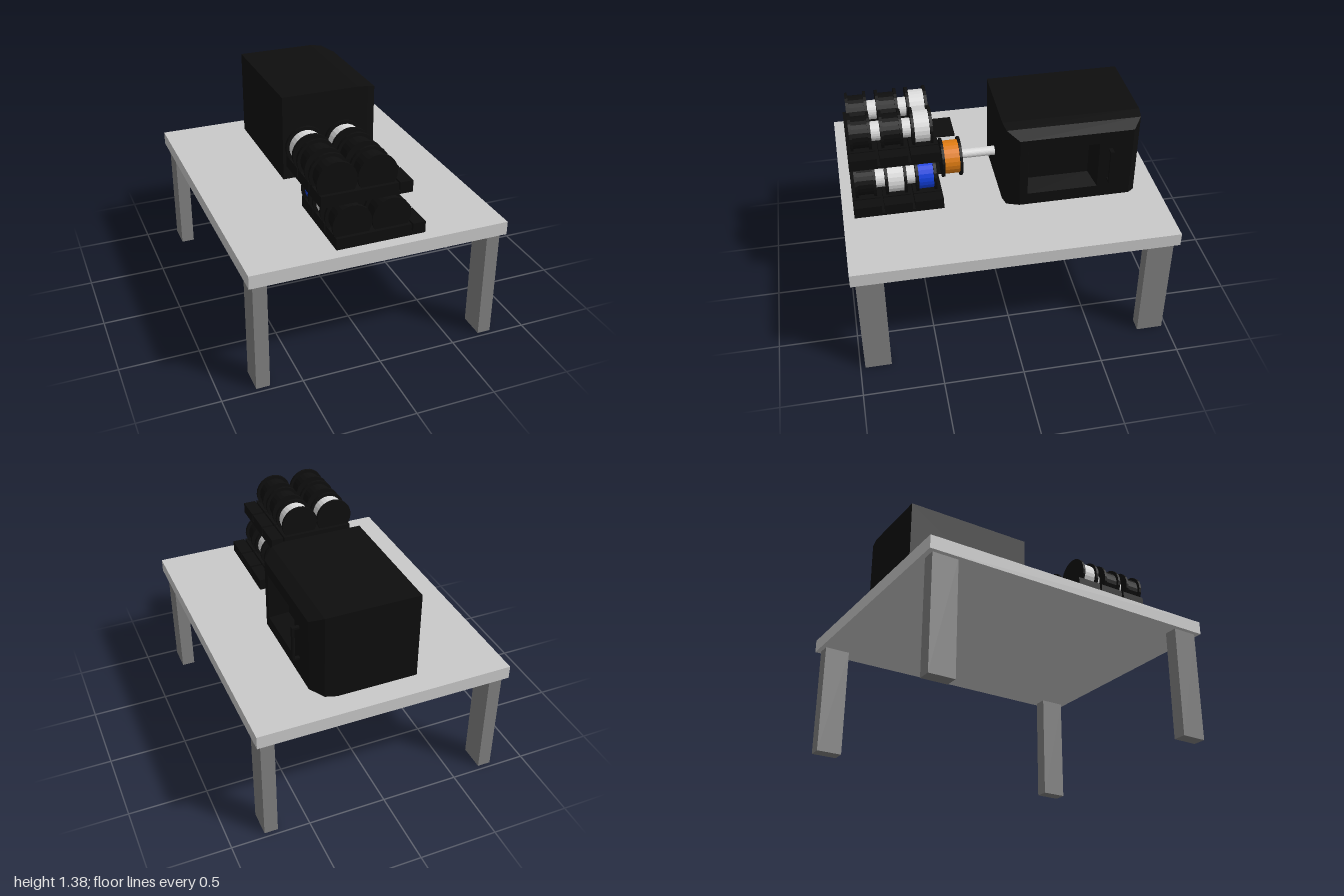
import * as THREE from 'three';

const mat = (name, color, extra = {}) => {
  const m = new THREE.MeshStandardMaterial({ color, flatShading: true, ...extra });
  m.name = name;
  return m;
};

export function createModel() {
  const black = mat('black', 0x0e0e0e);
  const silver = mat('silver', 0xdcdcdc);
  const orange = mat('orange', 0xe07c12);
  const blue = mat('blue', 0x1240e0);
  const topGrey = mat('light grey', 0xcacaca);
  const legGrey = mat('mid grey', 0x808080);

  const model = new THREE.Group();
  model.name = 'benchMachine';

  const add = (parent, name, geo, material) => {
    const mesh = new THREE.Mesh(geo, material);
    mesh.name = name;
    parent.add(mesh);
    return mesh;
  };
  // Box given by its low and high limits on each axis
  const box = (parent, name, x, y, z, material) => {
    const g = new THREE.BoxGeometry(x[1] - x[0], y[1] - y[0], z[1] - z[0]);
    g.translate((x[0] + x[1]) / 2, (y[0] + y[1]) / 2, (z[0] + z[1]) / 2);
    return add(parent, name, g, material);
  };
  // Cylinder lying along z
  const rod = (parent, name, x, y, z, r, material) => {
    const g = new THREE.CylinderGeometry(r, r, z[1] - z[0], 24);
    g.rotateX(Math.PI / 2);
    g.translate(x, y, (z[0] + z[1]) / 2);
    return add(parent, name, g, material);
  };

  // Table
  const table = new THREE.Group();
  table.name = 'table';
  model.add(table);
  box(table, 'tableTop', [-0.81, 0.81], [0.725, 0.81], [-1, 1], topGrey);
  for (const sx of [-1, 1]) for (const sz of [-1, 1]) {
    const leg = box(table, 'tableLeg', [-0.043, 0.043], [0, 0.725], [-0.083, 0.083], legGrey);
    leg.position.set(sx * 0.739, 0, sz * 0.887);
  }

  // Housing: rectangular sections along x, then a recess in the +x end
  const sections = [ // x, y low, y high, z low, z high
    [-0.255, 0.812, 1.38, -0.85, 0],
    [0.26, 0.812, 1.38, -0.85, 0],
    [0.335, 0.822, 1.37, -0.838, -0.012],
    [0.41, 0.86, 1.333, -0.78, -0.08],
    [0.41, 0.94, 1.255, -0.57, -0.13],
    [0.29, 0.97, 1.225, -0.54, -0.16],
  ];
  const pos = [], idx = [];
  for (const [x, y0, y1, z0, z1] of sections)
    pos.push(x, y0, z1, x, y0, z0, x, y1, z0, x, y1, z1);
  for (let s = 0; s < sections.length - 1; s++)
    for (let k = 0; k < 4; k++) {
      const a = s * 4 + k, b = s * 4 + (k + 1) % 4;
      idx.push(a, b, b + 4, a, b + 4, a + 4);
    }
  const e = (sections.length - 1) * 4;
  idx.push(0, 2, 1, 0, 3, 2, e, e + 1, e + 2, e, e + 2, e + 3);
  let housing = new THREE.BufferGeometry();
  housing.setAttribute('position', new THREE.Float32BufferAttribute(pos, 3));
  housing.setIndex(idx);
  housing = housing.toNonIndexed();
  housing.computeVertexNormals();
  add(model, 'housing', housing, black);

  // Door handle
  const handle = new THREE.Group();
  handle.name = 'doorHandle';
  model.add(handle);
  box(handle, 'handleGrip', [0.443, 0.456], [0.985, 1.215], [-0.652, -0.628], black);
  for (const y of [0.985, 1.202])
    box(handle, 'handleArm', [0.38, 0.443], [y, y + 0.013], [-0.652, -0.628], black);

  // Drive shaft and pulley
  rod(model, 'driveShaft', 0, 1, [-0.01, 0.23], 0.03, silver);
  rod(model, 'pulleyDrum', 0.01, 0.995, [0.235, 0.335], 0.107, orange);
  for (const z of [0.222, 0.335])
    rod(model, 'pulleyFlange', 0.01, 0.995, [z, z + 0.016], 0.125, black);

  // Guide plates beside the pulley
  for (const y of [0.842, 1.13])
    box(model, 'guidePlate', [-0.225, -0.02], [y, y + 0.009], [0.25, 0.375], black);

  // One deck: tray, mounting blocks and two rows of three spools
  const spoolEnds = [[0.785, 0.899], [0.593, 0.71], [0.407, 0.52]];
  const blockEnds = [[0.757, 0.93], [0.567, 0.74], [0.372, 0.55]];
  const deck = (name, x, y, colors) => {
    const g = new THREE.Group();
    g.name = name;
    g.position.set(x, y, 0);
    model.add(g);
    box(g, 'tray', [-0.28, 0.28], [0, 0.02], [0.37, 0.93], black);
    for (const z of blockEnds) {
      box(g, 'mountBlock', [-0.28, 0.19], [0.02, 0.073], z, black);
      box(g, 'sideBlock', [0.2, 0.28], [0.02, 0.073], z, black);
    }
    for (const cx of [-0.175, 0.07]) {
      rod(g, 'axle', cx, 0.137, [0.41, 0.9], 0.061, silver);
      spoolEnds.forEach((z, i) => {
        rod(g, 'spoolDrum', cx, 0.137, z, 0.102, colors[i]);
        for (const f of z)
          rod(g, 'spoolFlange', cx, 0.137, [f - 0.009, f + 0.009], 0.122, black);
      });
    }
  };
  deck('lowerDeck', 0.015, 0.812, [black, silver, blue]);
  deck('upperDeck', -0.08, 1.1, [black, black, silver]);

  return model;
}
